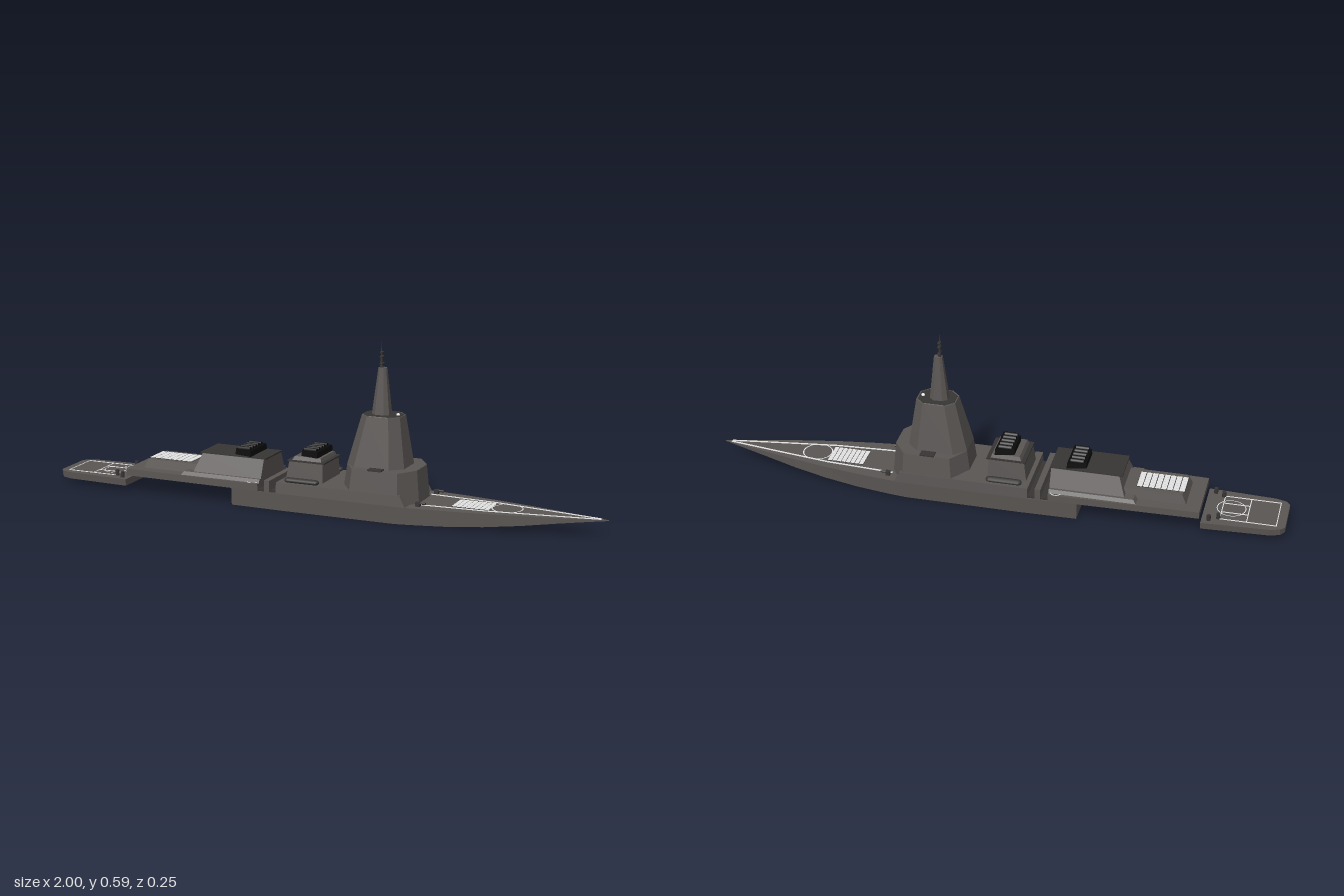
import * as THREE from 'three';

const mat = (name, color) => new THREE.MeshStandardMaterial({ name, color });

// Lofts a closed, flat-shaded solid through rings of [x, y, z] points.
function solid(rings) {
  const tris = [], n = rings[0].length, last = rings[rings.length - 1];
  for (let r = 0; r + 1 < rings.length; r++) {
    for (let i = 0; i < n; i++) {
      const j = (i + 1) % n, a = rings[r], b = rings[r + 1];
      tris.push([a[i], a[j], b[j]], [a[i], b[j], b[i]]);
    }
  }
  for (let i = 1; i + 1 < n; i++) {
    tris.push([rings[0][0], rings[0][i + 1], rings[0][i]], [last[0], last[i], last[i + 1]]);
  }
  const v = (p) => new THREE.Vector3(...p);
  let volume = 0;
  for (const [a, b, c] of tris) volume += v(a).dot(v(b).cross(v(c)));
  const out = tris.flatMap(([a, b, c]) => (volume < 0 ? [a, c, b] : [a, b, c])).flat();
  const geo = new THREE.BufferGeometry();
  geo.setAttribute('position', new THREE.Float32BufferAttribute(out, 3));
  geo.computeVertexNormals();
  return geo;
}

// Tapered block between two heights; each end is [xBack, xFront, halfWidth, chamferX, chamferZ].
function tier(y0, low, y1, high) {
  const ring = (y, [a, b, w, cx = 0, cz = 0]) => [
    [a + cx, y, -w], [b - cx, y, -w], [b, y, -w + cz], [b, y, w - cz],
    [b - cx, y, w], [a + cx, y, w], [a, y, w - cz], [a, y, -w + cz]];
  return solid([ring(y0, low), ring(y1, high)]);
}

// Hull piece from stations [x, halfWidth, bottom, top].
const hullPiece = (stations) => solid(stations.map(([x, w, b, t]) => [
  [x, b, -w * 0.975], [x, t, -w], [x, t, w], [x, b, w * 0.975]]));

export function createModel() {
  const grey = mat('hullGrey', 0x5a5654);
  const dark = mat('darkGrey', 0x383635);
  const black = mat('funnelBlack', 0x0b0b0b);
  const white = mat('markingWhite', 0xe4e4e4);
  const ship = new THREE.Group();
  ship.name = 'warship';

  const add = (name, geo, m, x = 0, y = 0, z = 0, parent = ship) => {
    const mesh = new THREE.Mesh(geo, m);
    mesh.name = name;
    mesh.position.set(x, y, z);
    parent.add(mesh);
    return mesh;
  };
  const box = (name, m, x0, x1, y0, y1, z0, z1) => add(name,
    new THREE.BoxGeometry(x1 - x0, y1 - y0, z1 - z0), m, (x0 + x1) / 2, (y0 + y1) / 2, (z0 + z1) / 2);
  const line = (name, x0, z0, x1, z1, y, w = 0.005) => {
    const mesh = add(name, new THREE.BoxGeometry(Math.hypot(x1 - x0, z1 - z0), 0.002, w), white,
      (x0 + x1) / 2, y, (z0 + z1) / 2);
    mesh.rotation.y = -Math.atan2(z1 - z0, x1 - x0);
  };
  const circle = (name, x, y, z, r, w = 0.004) => {
    const geo = new THREE.RingGeometry(r - w, r, 36).rotateX(-Math.PI / 2);
    add(name, geo, white, x, y, z);
  };

  // Main hull with the rising bow
  add('mainHull', hullPiece([
    [-0.3, 0.122, 0, 0.06], [-0.1, 0.126, 0, 0.06], [0.3, 0.126, 0, 0.06], [0.36, 0.122, 0.002, 0.06],
    [0.48, 0.108, 0.006, 0.06], [0.6, 0.09, 0.014, 0.06], [0.72, 0.067, 0.026, 0.06],
    [0.84, 0.04, 0.041, 0.06], [0.94, 0.016, 0.052, 0.06], [1, 0.001, 0.058, 0.06]]), grey);

  // Raised after deck, open beneath the aft launcher
  const deck = new THREE.Shape([[-0.715, -0.113], [-0.3, -0.122], [-0.2, -0.124], [-0.2, 0.124],
    [-0.3, 0.122], [-0.715, 0.113]].map((p) => new THREE.Vector2(...p)));
  deck.holes.push(new THREE.Path([[-0.62, -0.05], [-0.62, 0.05], [-0.47, 0.05], [-0.47, -0.05]]
    .map((p) => new THREE.Vector2(...p))));
  add('afterDeck', new THREE.ExtrudeGeometry(deck, { depth: 0.024, bevelEnabled: false })
    .rotateX(-Math.PI / 2), grey, 0, 0.06, 0);

  // Low flight deck at the stern
  add('flightDeck', hullPiece([[-1, 0.072, 0.024, 0.044], [-0.985, 0.09, 0.021, 0.044],
    [-0.95, 0.1, 0.02, 0.044], [-0.72, 0.112, 0.02, 0.044]]), grey);

  // Midship band and the cross walls in the gap
  add('midshipBand', tier(0.06, [-0.13, 0.34, 0.127], 0.098, [-0.13, 0.32, 0.124]), grey);
  box('crossWall', grey, -0.175, -0.155, 0.06, 0.1, -0.124, 0.124);
  box('gapFloor', dark, -0.2, -0.13, 0.06, 0.066, -0.12, 0.12);

  // Aft superstructure, launcher deck and hangar
  add('launcherHouse', tier(0.084, [-0.665, -0.44, 0.074], 0.115, [-0.65, -0.44, 0.067]), grey);
  add('hangarBase', tier(0.084, [-0.5, -0.2, 0.112], 0.096, [-0.49, -0.2, 0.105]), grey);
  add('hangar', tier(0.09, [-0.46, -0.2, 0.098], 0.158, [-0.435, -0.2, 0.07]), grey);
  box('hangarRoofLip', dark, -0.445, -0.195, 0.156, 0.161, -0.068, 0.068);

  // Midship funnel house
  add('funnelHouse', tier(0.098, [-0.115, 0.022, 0.075], 0.165, [-0.105, 0.018, 0.068]), grey);
  box('funnelHouseRoof', dark, -0.11, 0.026, 0.162, 0.167, -0.071, 0.071);
  add('funnelBase', tier(0.167, [-0.095, 0.012, 0.065], 0.18, [-0.088, 0.008, 0.06]), grey);

  // Black exhaust stacks
  for (const [x, y] of [[-0.285, 0.161], [-0.035, 0.18]]) {
    const wedge = (h, s) => [[x - 0.033 * s, y + h, -0.05 * s], [x + 0.033 * s, y + h, -0.066 * s],
      [x + 0.033 * s, y + h, 0.066 * s], [x - 0.033 * s, y + h, 0.05 * s]];
    add('exhaustStack', solid([wedge(0, 1), wedge(0.02, 0.96)]), black);
    for (let i = -2; i <= 2; i++) {
      const pipe = add('exhaustPipe', new THREE.CylinderGeometry(0.009, 0.009, 0.045, 8), black, x, y + 0.021, i * 0.022);
      pipe.rotation.z = Math.PI / 2;
    }
  }

  // Tower and mast
  add('bridge', tier(0.06, [0.085, 0.362, 0.126, 0.05, 0.075], 0.17, [0.1, 0.352, 0.114, 0.045, 0.068]), grey);
  add('tower', tier(0.17, [0.1, 0.306, 0.086, 0.04, 0.04], 0.34, [0.145, 0.282, 0.058, 0.03, 0.03]), grey);
  add('towerRoof', tier(0.338, [0.148, 0.279, 0.055, 0.03, 0.03], 0.342, [0.15, 0.277, 0.053, 0.03, 0.03]), dark);
  add('mast', tier(0.34, [0.175, 0.238, 0.027, 0.016, 0.013], 0.5, [0.195, 0.223, 0.012, 0.007, 0.006]), grey);
  add('mastSpike', new THREE.ConeGeometry(0.006, 0.09, 6), dark, 0.204, 0.545, 0);
  for (const [y, r] of [[0.513, 0.02], [0.537, 0.017], [0.552, 0.014]]) {
    const arm = add('mastArm', new THREE.SphereGeometry(1, 10, 6), dark, 0.205, y, 0);
    arm.scale.set(0.006, 0.003, r);
  }
  add('radarDome', new THREE.SphereGeometry(0.007, 10, 8), white, 0.265, 0.342, 0);

  for (const s of [-1, 1]) {
    // Wing platforms, boats and deck fittings on each side
    box('bridgeWing', dark, 0.2, 0.25, 0.169, 0.174, s * 0.095 - 0.02, s * 0.095 + 0.02);
    const boat = add('boat', new THREE.CapsuleGeometry(0.013, 0.1, 4, 10).rotateZ(Math.PI / 2), dark, -0.043, 0.106, s * 0.104);
    boat.scale.y = 0.7;
    const gun = add('deckFitting', new THREE.CylinderGeometry(0.004, 0.004, 0.028, 8), dark, 0.385, 0.071, s * 0.088);
    gun.rotation.z = Math.PI / 2;
    box('fittingMount', dark, 0.365, 0.38, 0.06, 0.075, s * 0.088 - 0.007, s * 0.088 + 0.007);
    circle('sideRing', -0.225, 0.086, s * 0.106, 0.02);
    for (const x of [-0.775, -0.745]) {
      add('bollard', new THREE.CylinderGeometry(0.007, 0.007, 0.02, 8), dark, x, 0.054, s * (0.07 + (x + 0.775) * 0.6));
    }
    // Bow deck edge lines
    const path = [[0.36, 0.072], [0.6, 0.057], [0.8, 0.029], [0.975, 0.003]];
    for (let i = 0; i < 3; i++) {
      line('bowLine', path[i][0], s * path[i][1], path[i + 1][0], s * path[i + 1][1], 0.0612, 0.006);
    }
    line('padSideLine', -0.97, s * 0.073, -0.78, s * 0.073, 0.045, 0.003);
    line('padInnerLine', -0.87, s * 0.028, -0.78, s * 0.028, 0.045, 0.003);
  }

  // Flight deck and foredeck markings
  for (const x of [-0.97, -0.87, -0.78]) line('padCrossLine', x, -0.073, x, 0.073, 0.045, 0.003);
  circle('padCircle', -0.81, 0.0456, 0, 0.05, 0.003);
  circle('foredeckCircle', 0.655, 0.0615, 0, 0.053);

  // Launcher cell grids
  for (const [x0, x1, w, y] of [[0.475, 0.605, 0.045, 0.061], [-0.655, -0.49, 0.047, 0.116]]) {
    const nx = 8, nz = 6, dx = (x1 - x0) / nx, dz = 2 * w / nz;
    box('launcherBase', dark, x0, x1, y - 0.003, y, -w, w);
    for (let i = 0; i < nx; i++) {
      for (let j = 0; j < nz; j++) {
        add('launcherCell', new THREE.BoxGeometry(dx * 0.88, 0.002, dz * 0.88), white,
          x0 + (i + 0.5) * dx, y + 0.0005, -w + (j + 0.5) * dz);
      }
    }
  }
  return ship;
}
